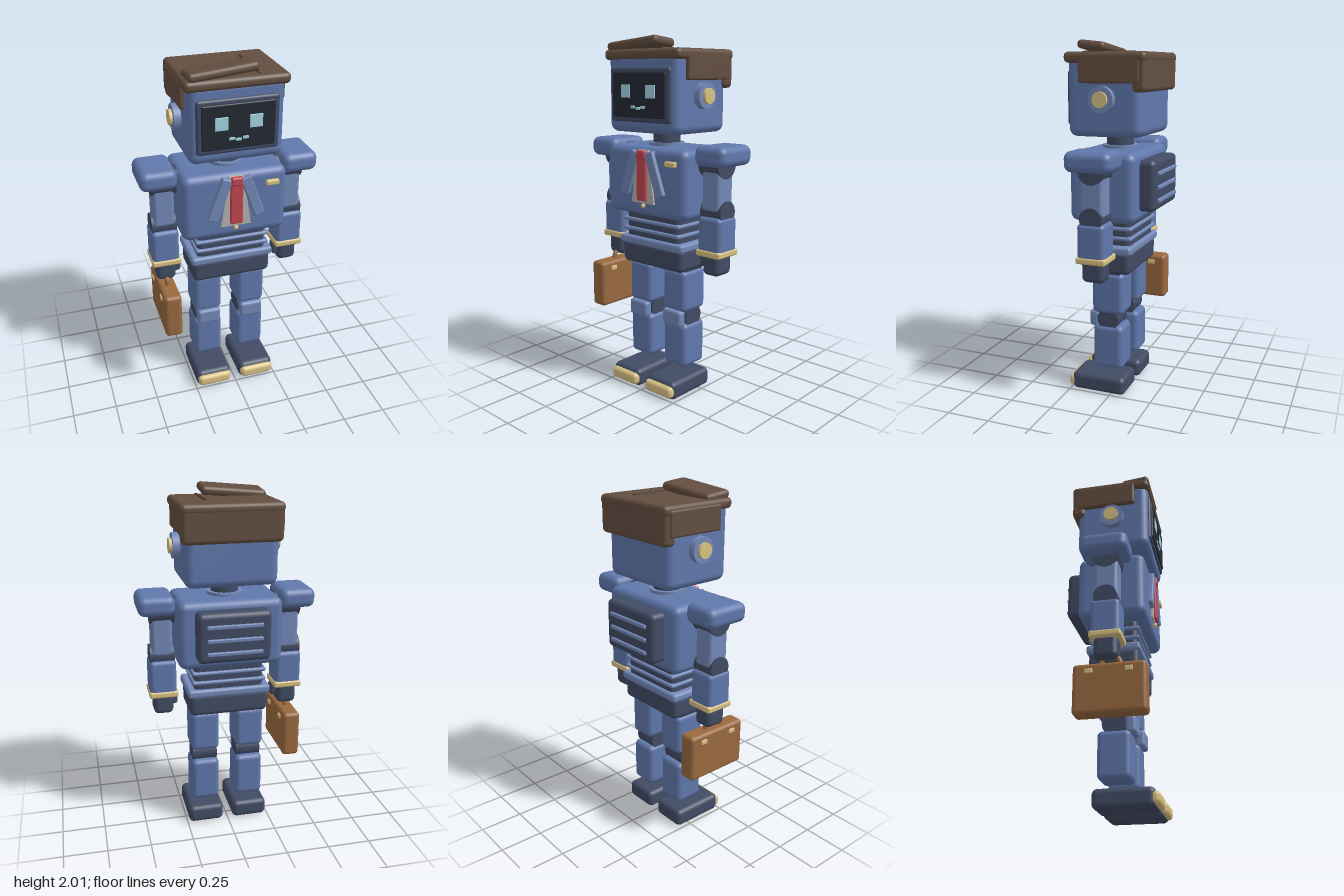
import * as THREE from 'three';
import { RoundedBoxGeometry } from 'three/addons/geometries/RoundedBoxGeometry.js';

const mat = (color) => new THREE.MeshStandardMaterial({ color });
const blue = mat(0x6078ac), light = mat(0x7389b8), dark = mat(0x414b63), gold = mat(0xd9c283);
const hair = mat(0x634e40), leather = mat(0x99693f), red = mat(0xc24650), linen = mat(0xb4b2ae);
const black = mat(0x242a33), glow = mat(0xa5d4e6);
const MID = 0.025; // depth of the body's centre line

export function createModel() {
  const model = new THREE.Group();
  model.name = 'officeRobot';

  function add(name, geometry, material, x, y, z, parent = model) {
    const mesh = new THREE.Mesh(geometry, material);
    mesh.name = name;
    mesh.position.set(x, y, z);
    parent.add(mesh);
    return mesh;
  }
  // Rounded box given by its extents on each axis
  function box(name, material, [x0, x1], [y0, y1], [z0, z1], r = 0.02, parent = model) {
    const w = x1 - x0, h = y1 - y0, d = z1 - z0;
    const radius = Math.min(r, w * 0.49, h * 0.49, d * 0.49);
    return add(name, new RoundedBoxGeometry(w, h, d, 3, radius), material,
      (x0 + x1) / 2, (y0 + y1) / 2, (z0 + z1) / 2, parent);
  }
  // Cylinder lying along x
  function axle(name, material, [x0, x1], r, y, z, parent = model) {
    const g = new THREE.CylinderGeometry(r, r, x1 - x0, 28).rotateZ(Math.PI / 2);
    return add(name, g, material, (x0 + x1) / 2, y, z, parent);
  }
  const span = (s, a, b) => (s > 0 ? [a, b] : [-b, -a]);

  // Head, face screen
  box('head', blue, [-0.255, 0.255], [1.49, 1.92], [-0.185, 0.235], 0.045);
  box('screenFrame', dark, [-0.22, 0.22], [1.55, 1.84], [0.2, 0.248], 0.015);
  box('screen', black, [-0.195, 0.195], [1.575, 1.815], [0.22, 0.256], 0.008);
  for (const s of [-1, 1]) box('eye', glow, span(s, 0.057, 0.126), [1.68, 1.75], [0.24, 0.26], 0.003);
  for (const i of [-1, 0, 1]) {
    const y = 1.625 + Math.abs(i) * 0.007;
    box('mouthSegment', glow, [i * 0.036 - 0.016, i * 0.036 + 0.016], [y - 0.008, y + 0.008], [0.24, 0.26], 0.003);
  }

  // Hair cap with side panels, back panel, parting and quiff
  box('hairTop', hair, [-0.275, 0.28], [1.88, 1.938], [-0.22, 0.245], 0.025);
  box('hairBack', hair, [-0.27, 0.275], [1.73, 1.935], [-0.218, -0.14], 0.025);
  for (const s of [-1, 1]) box('hairSide', hair, span(s, 0.235, 0.28), [1.775, 1.915], [-0.185, 0.16], 0.012);
  box('hairParting', mat(0x463930), [0.115, 0.13], [1.92, 1.944], [-0.195 + 0.305, 0.11 + 0.09].map((v, i) => (i ? v : -0.11)), 0.003);
  const quiff = box('quiff', hair, [-0.255, 0.113], [1.937, 1.985], [0.078, 0.242], 0.022);
  quiff.rotation.set(-0.1, 0, 0.09);

  // Ears
  for (const s of [-1, 1]) {
    axle('earDisc', light, span(s, 0.24, 0.293), 0.07, 1.692, MID);
    axle('earCap', gold, span(s, 0.28, 0.31), 0.042, 1.692, MID);
  }

  // Neck and torso
  add('neck', new THREE.CylinderGeometry(0.077, 0.077, 0.12, 32), dark, 0, 1.46, MID);
  add('neckRing', new THREE.CylinderGeometry(0.1, 0.1, 0.04, 32), light, 0, 1.412, MID);
  box('torso', blue, [-0.295, 0.295], [1.03, 1.415], [-0.165, 0.215], 0.045);

  // Shirt front, lapels, tie, button and badge
  const shirt = new THREE.Shape([[-0.085, 1.105], [0.085, 1.105], [0.04, 1.4], [-0.04, 1.4]]
    .map(([x, y]) => new THREE.Vector2(x, y)));
  add('shirtFront', new THREE.ExtrudeGeometry(shirt, { depth: 0.022, bevelEnabled: false }), linen, 0, 0, 0.203);
  for (const s of [-1, 1]) {
    const lapel = box('lapel', light, [-0.03, 0.03], [-0.126, 0.126], [0.2, 0.238], 0.008);
    lapel.position.x = s * 0.092;
    lapel.position.y = 1.272;
    lapel.rotation.z = s * 0.35;
  }
  box('tie', red, [-0.035, 0.035], [1.12, 1.365], [0.215, 0.24], 0.008);
  box('tieKnot', red, [-0.032, 0.032], [1.35, 1.4], [0.21, 0.247], 0.012);
  add('button', new THREE.SphereGeometry(0.013, 16, 12), gold, 0, 1.09, 0.222);
  box('badge', gold, [0.168, 0.242], [1.322, 1.352], [0.2, 0.236], 0.008);

  // Back unit with vents
  box('backUnit', dark, [-0.205, 0.205], [1.09, 1.372], [-0.25, -0.14], 0.03);
  for (const y of [1.148, 1.222, 1.298]) box('vent', light, [-0.155, 0.155], [y - 0.011, y + 0.011], [-0.263, -0.235], 0.006);

  // Waist bellows, belt and hips
  box('waist', dark, [-0.2, 0.2], [0.86, 1.05], [-0.105, 0.155], 0.03);
  for (const y of [0.985, 0.93]) box('waistRing', light, [-0.213, 0.213], [y - 0.011, y + 0.011], [-0.118, 0.168], 0.01);
  box('belt', light, [-0.24, 0.24], [0.84, 0.89], [-0.125, 0.175], 0.018);
  box('hips', dark, [-0.228, 0.228], [0.725, 0.86], [-0.113, 0.165], 0.03);

  for (const s of [-1, 1]) {
    // Arm
    const arm = new THREE.Group();
    arm.name = s > 0 ? 'leftArm' : 'rightArm';
    model.add(arm);
    box('shoulderPad', blue, span(s, 0.297, 0.5), [1.33, 1.44], [-0.11, 0.155], 0.04, arm);
    axle('shoulderJoint', dark, span(s, 0.28, 0.43), 0.077, 1.337, MID, arm);
    box('upperArm', light, span(s, 0.308, 0.425), [1.08, 1.32], [-0.038, 0.09], 0.02, arm);
    axle('elbow', dark, span(s, 0.3, 0.438), 0.064, 1.077, MID, arm);
    box('forearm', blue, span(s, 0.292, 0.445), [0.845, 1.055], [-0.053, 0.105], 0.025, arm);
    box('cuff', gold, span(s, 0.285, 0.45), [0.835, 0.873], [-0.06, 0.112], 0.012, arm);
    box('hand', dark, span(s, 0.312, 0.425), [0.727, 0.86], [-0.04, 0.09], 0.03, arm);
    box('thumb', dark, span(s, 0.28, 0.325), [0.765, 0.845], [0.01, 0.07], 0.018, arm);

    // Leg
    const leg = new THREE.Group();
    leg.name = s > 0 ? 'leftLeg' : 'rightLeg';
    model.add(leg);
    axle('hipJoint', dark, span(s, 0.06, 0.205), 0.075, 0.73, MID, leg);
    box('thigh', blue, span(s, 0.05, 0.215), [0.48, 0.725], [-0.07, 0.12], 0.03, leg);
    axle('knee', dark, span(s, 0.06, 0.205), 0.064, 0.445, MID, leg);
    box('kneePad', light, span(s, 0.064, 0.2), [0.395, 0.49], [0.085, 0.14], 0.018, leg);
    box('shin', blue, span(s, 0.05, 0.215), [0.15, 0.41], [-0.065, 0.115], 0.03, leg);
    box('shoe', dark, span(s, 0.03, 0.24), [0, 0.105], [-0.085, 0.24], 0.03, leg);
    box('toeCap', gold, span(s, 0.035, 0.235), [0.015, 0.085], [0.2, 0.263], 0.025, leg);
  }

  // Briefcase carried in the right hand
  const briefcase = new THREE.Group();
  briefcase.name = 'briefcase';
  model.add(briefcase);
  box('caseBody', leather, [-0.42, -0.32], [0.43, 0.702], [-0.147, 0.238], 0.022, briefcase);
  const grip = new THREE.CatmullRomCurve3([[0.69, -0.055], [0.735, -0.04], [0.74, 0], [0.735, 0.04], [0.69, 0.055]]
    .map(([y, z]) => new THREE.Vector3(0, y, z)));
  add('caseHandle', new THREE.TubeGeometry(grip, 20, 0.014, 10), leather, -0.37, 0, 0.045, briefcase);
  for (const z of [-0.06, 0.15]) box('clasp', gold, [-0.427, -0.313], [0.645, 0.672], [z - 0.021, z + 0.021], 0.005, briefcase);

  return model;
}
